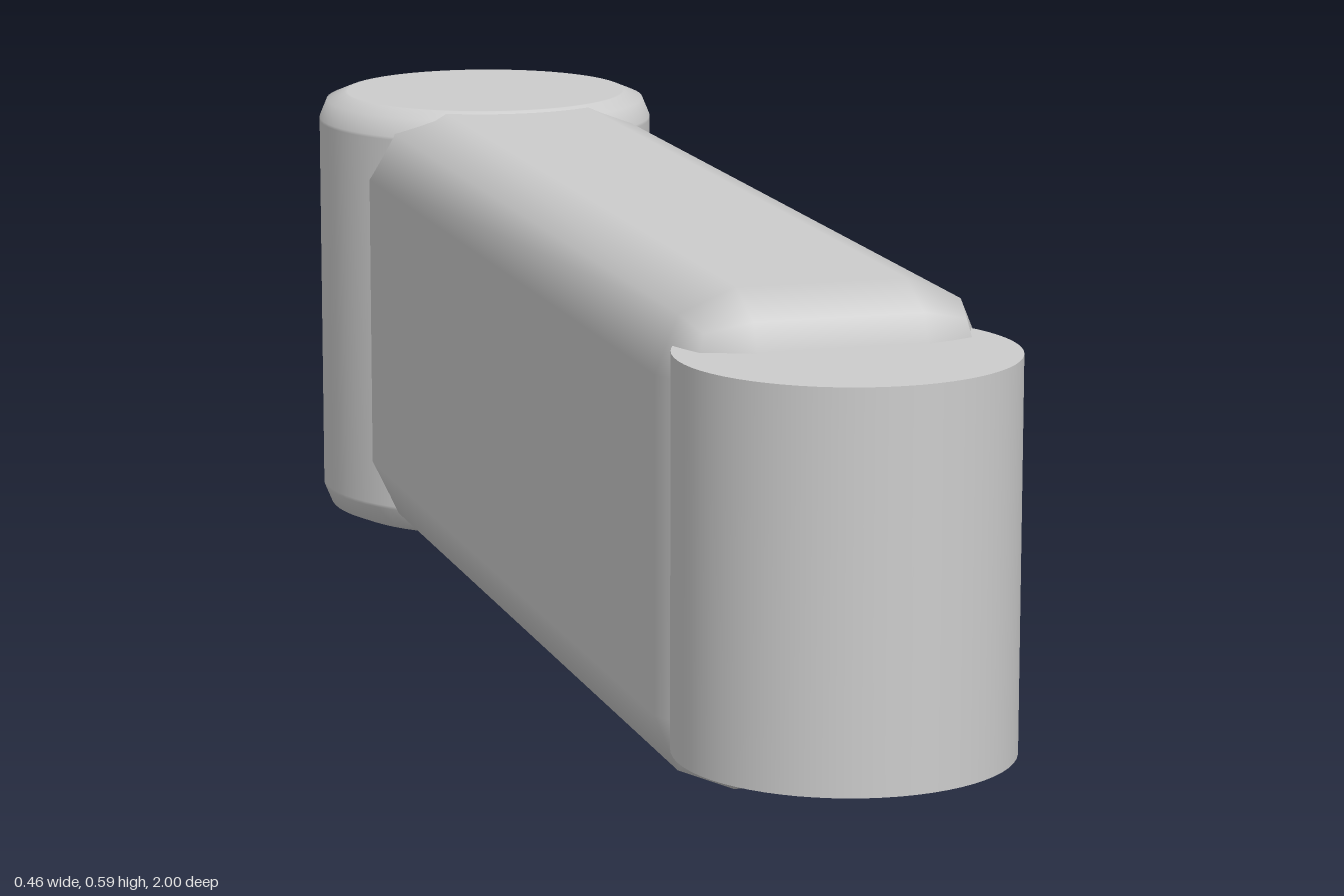
import * as THREE from 'three';
import { RoundedBoxGeometry } from 'three/addons/geometries/RoundedBoxGeometry.js';

export function createModel() {
  const group = new THREE.Group();
  const grey = new THREE.MeshStandardMaterial({ color: 0xcccccc });
  grey.name = 'plain grey';

  const add = (name, geometry, x, y, z) => {
    const mesh = new THREE.Mesh(geometry, grey);
    mesh.name = name;
    mesh.position.set(x, y, z);
    group.add(mesh);
  };

  // Long arm: a box with a two-step bevel; its back end sits inside the rear post
  add('arm', new RoundedBoxGeometry(0.39, 0.584, 1.575, 1, 0.095), 0, 0.295, 0.0175);

  // Front pivot: a plain cylinder with sharp rims
  add('frontPivot', new THREE.CylinderGeometry(0.196, 0.196, 0.458, 64), 0, 0.297, 0.804);

  // Rear post: a thicker cylinder with softly bevelled rims
  const radius = 0.23, height = 0.59, bevel = 0.035;
  const lower = [new THREE.Vector2(0, 0), new THREE.Vector2(radius - bevel - 0.004, 0)];
  for (let i = 0; i <= 2; i++) {
    const a = (i / 2) * Math.PI / 2;
    lower.push(new THREE.Vector2(
      radius - bevel + bevel * Math.sin(a),
      bevel - bevel * Math.cos(a)
    ));
  }
  lower.push(new THREE.Vector2(radius, bevel + 0.004));
  const upper = lower.map(p => new THREE.Vector2(p.x, height - p.y)).reverse();
  add('rearPost', new THREE.LatheGeometry([...lower, ...upper], 64), 0, 0, -0.77);

  return group;
}
